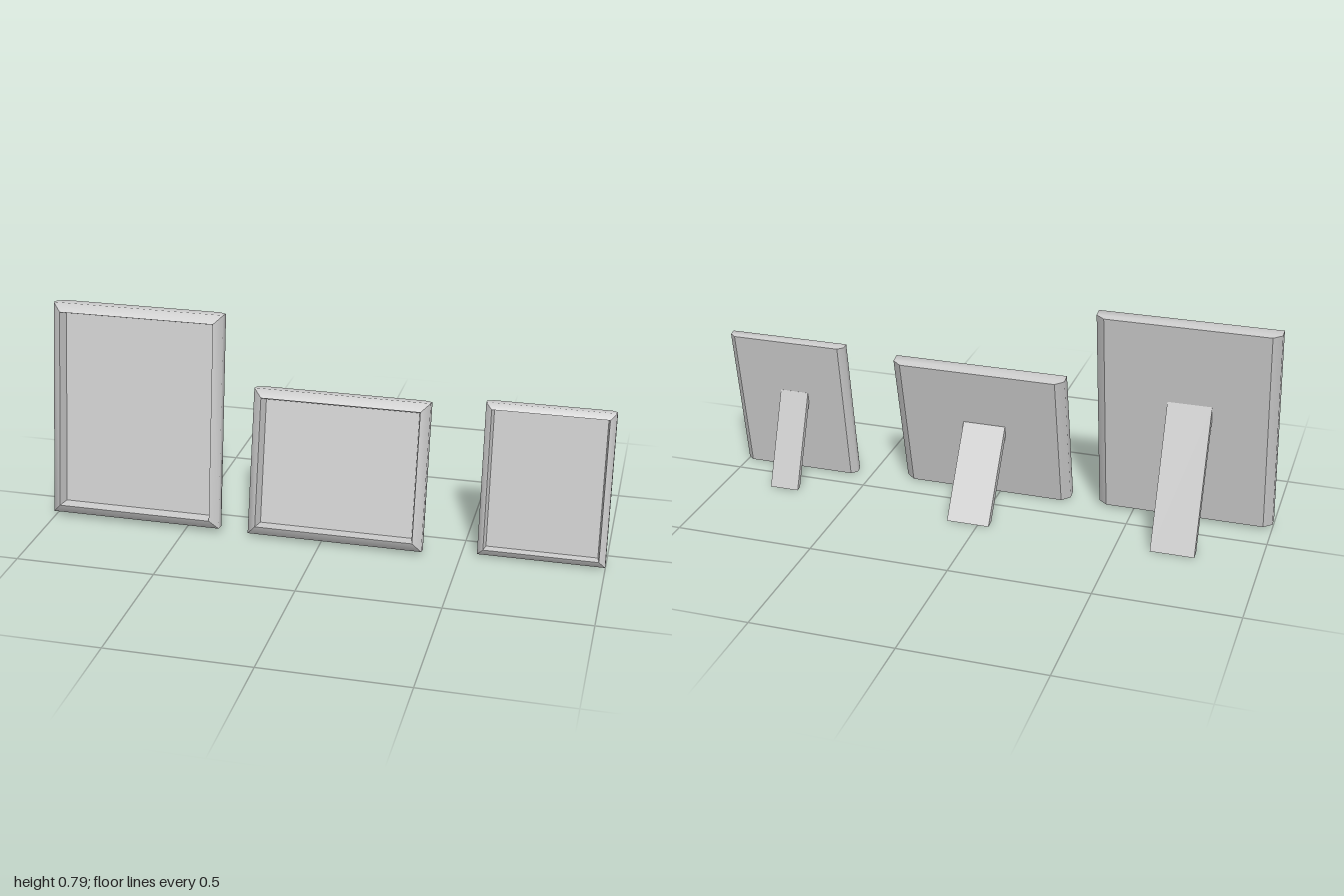
import * as THREE from 'three';

const material = new THREE.MeshStandardMaterial({ color: 0xcccccc });

function addMesh(parent, name, geometry) {
  const mesh = new THREE.Mesh(geometry, material);
  mesh.name = name;
  parent.add(mesh);
  return mesh;
}

// Corners of a rectangle inset by ix / iy at depth z, counter-clockwise from the front
function ring(w, h, [ix, iy, z]) {
  const x = w / 2 - ix;
  return [[-x, iy, z], [x, iy, z], [x, h - iy, z], [-x, h - iy, z]];
}

// One mitred bar: a strip running through the rings along side k, smooth across its profile
function barStrip(rings, k) {
  const positions = [];
  const index = [];
  rings.forEach((corners, i) => {
    positions.push(...corners[k], ...corners[(k + 1) % 4]);
    if (i > 0) {
      const a = 2 * (i - 1);
      index.push(a, a + 1, a + 3, a, a + 3, a + 2);
    }
  });
  const geometry = new THREE.BufferGeometry();
  geometry.setAttribute('position', new THREE.Float32BufferAttribute(positions, 3));
  geometry.setIndex(index);
  geometry.computeVertexNormals();
  return geometry;
}

function panel(w, h, y, z, facingBack) {
  const geometry = new THREE.PlaneGeometry(w, h);
  if (facingBack) geometry.rotateY(Math.PI);
  return geometry.translate(0, y, z);
}

// Leaning picture frame; s scales the moulding profile
function pictureFrame({ name, x, w, h, y, z, tilt, s, leg }) {
  const group = new THREE.Group();
  group.name = name;

  const body = new THREE.Group();
  body.name = 'frameBody';
  body.position.set(x, y, z);
  body.rotation.x = -tilt * Math.PI / 180;
  group.add(body);

  // Moulding: rounded outside, then a sloping inner wall down to the picture
  const scaled = (p) => ring(w, h, p.map((v) => v * s));
  const outer = [[0.03, 0, 0], [0, 0, 0.022], [0, 0, 0.056], [0.031, 0.031, 0.078]].map(scaled);
  const inner = [[0.031, 0.031, 0.078], [0.04, 0.04, 0.035]].map(scaled);
  ['bottom', 'left', 'top', 'right'].forEach((side, k) => {
    addMesh(body, side + 'Moulding', barStrip(outer, k));
    addMesh(body, side + 'InnerWall', barStrip(inner, k));
  });
  addMesh(body, 'picturePanel', panel(w - 0.08 * s, h - 0.08 * s, h / 2, 0.035 * s, false));
  addMesh(body, 'backPanel', panel(w - 0.06 * s, h, h / 2, 0, true));

  // Easel leg: slanted slab from the back panel to the ground
  const { foot, top, t } = leg;
  const profile = new THREE.Shape([
    new THREE.Vector2(-foot[0], foot[1]),
    new THREE.Vector2(-top[0], top[1]),
    new THREE.Vector2(-top[0] - t, top[1]),
    new THREE.Vector2(-foot[0] - t, foot[1] + 0.003),
  ]);
  const slab = new THREE.ExtrudeGeometry(profile, { depth: leg.w, bevelEnabled: false });
  slab.translate(0, 0, -leg.w / 2).rotateY(Math.PI / 2);
  addMesh(group, 'easelLeg', slab).position.x = leg.x;
  return group;
}

export function createModel() {
  const model = new THREE.Group();
  model.name = 'pictureFrames';
  const frames = [
    { name: 'largeFrame', x: -0.686, w: 0.628, h: 0.776, y: 0.012, z: 0.099, tilt: 9.2, s: 1,
      leg: { x: -0.70, w: 0.155, foot: [-0.168, 0], top: [0.023, 0.483], t: 0.033 } },
    { name: 'mediumFrame', x: 0.051, w: 0.63, h: 0.526, y: 0.003, z: 0.1, tilt: 13.5, s: 1,
      leg: { x: 0.037, w: 0.155, foot: [-0.168, 0], top: [0.028, 0.302], t: 0.033 } },
    { name: 'smallFrame', x: 0.778, w: 0.444, h: 0.546, y: 0.003, z: 0.072, tilt: 9.1, s: 0.7,
      leg: { x: 0.767, w: 0.107, foot: [-0.116, 0.002], top: [0.018, 0.338], t: 0.022 } },
  ];
  frames.forEach((f) => model.add(pictureFrame(f)));
  return model;
}
